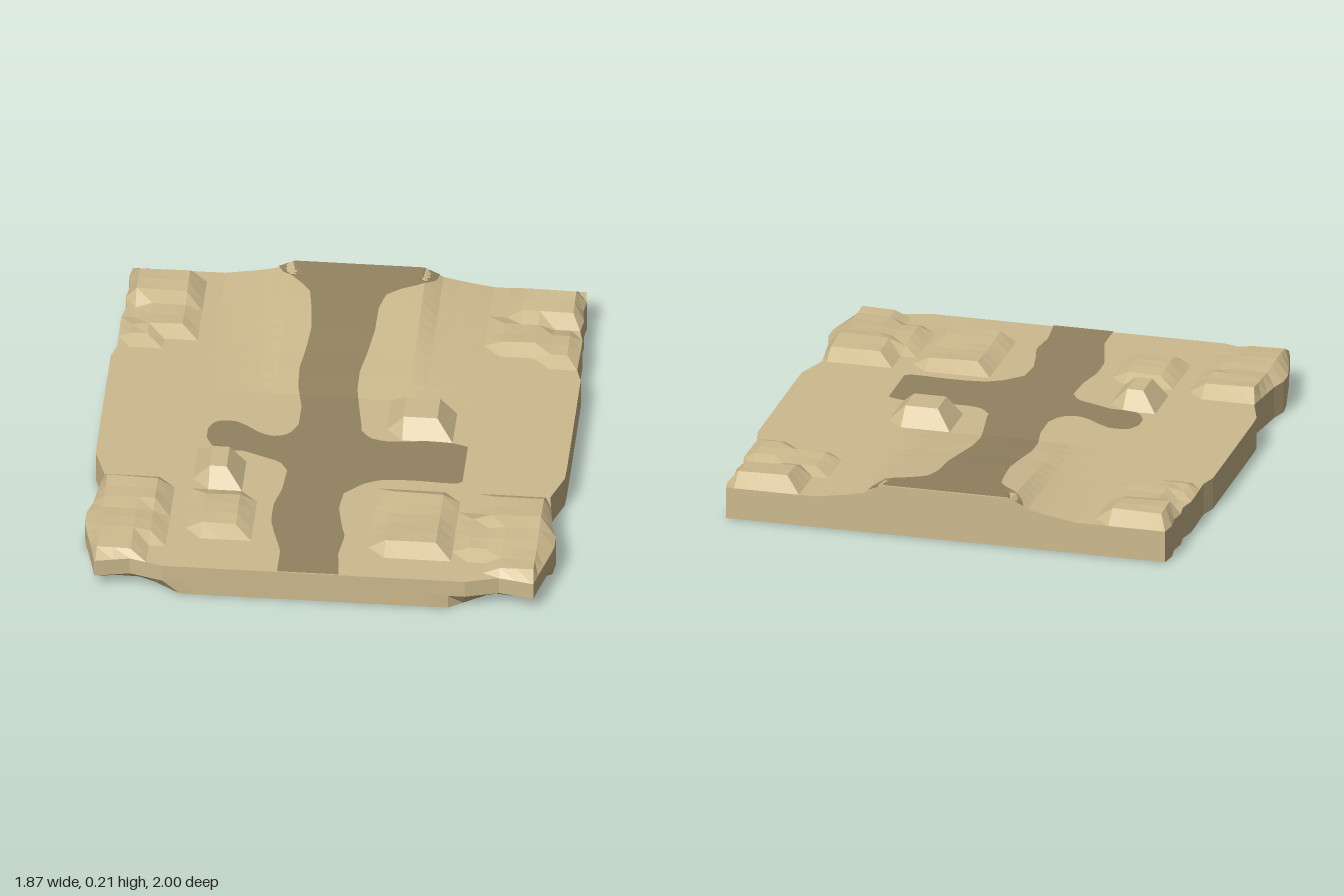
import * as THREE from 'three';

const C = 1 / 15, NX = 14, NZ = 15, GROUND = 0.132;
const lerp = THREE.MathUtils.lerp;

// Piecewise linear lookup; each key is [t, value, value2...]
function along(keys, t, k = 1) {
  if (t <= keys[0][0]) return keys[0][k];
  for (let n = 1; n < keys.length; n++) {
    const a = keys[n - 1], b = keys[n];
    if (t <= b[0]) return lerp(a[k], b[k], (t - a[0]) / (b[0] - a[0]));
  }
  return keys[keys.length - 1][k];
}

// Plateaus in grid cells: [x0, x1, z0, z1, rise], falling off over one cell
const plateaus = [
  [4, 6, -2, 0, 0.068], [-7, -6, 4, 6, 0.068],
  [-13, -10, -14, -12, 0.045], [-12, -10, -11, -9, 0.03], [-13, -12, -9, -8, 0.02],
  [10, 13, -14, -12, 0.045], [9, 11, -11, -9, 0.025], [12, 13, -10, -8, 0.02],
  [4, 7, 7, 12, 0.034], [-7, -5, 8, 11, 0.03],
  [-13, -10, 7, 9, 0.045], [-13, -11, 10, 14, 0.034], [-10, -10, 9, 12, 0.022],
  [10, 13, 7, 9, 0.045], [11, 13, 10, 14, 0.034], [9, 10, 9, 12, 0.022],
];

// Slope that climbs to the back edge
const climb = [[-1, 0.074], [-0.8, 0.058], [-0.6, 0.04], [-0.47, 0.026], [-0.33, 0.015], [-0.2, 0]];
const spread = [[0.267, 1], [0.333, 0.5], [0.4, 0.3], [0.533, 0]];

function gridHeight(i, j) {
  if (Math.abs(i) === NX) return GROUND;
  let rise = along(climb, j * C) * along(spread, Math.abs(i * C));
  plateaus.forEach(([x0, x1, z0, z1, h], n) => {
    if (i < x0 || i > x1 || j < z0 || j > z1) return;
    const rough = n < 2 ? 0 : 0.006 * Math.sin(i * 12.9 + j * 7.3);
    rise = Math.max(rise, h + rough);
  });
  if (j === NZ) rise = 0;
  return GROUND + rise;
}

function heightAt(x, z) {
  const i = Math.min(Math.floor(x / C), NX - 1), j = Math.min(Math.floor(z / C), NZ - 1);
  const u = x / C - i, v = z / C - j;
  return lerp(lerp(gridHeight(i, j), gridHeight(i + 1, j), u),
    lerp(gridHeight(i, j + 1), gridHeight(i + 1, j + 1), u), v);
}

// Worn outline of the two sides and of the front corners
const sideEdge = [[-1, 0.9], [-0.93, 0.91], [-0.87, 0.9], [-0.8, 0.91], [-0.73, 0.9], [-0.66, 0.917],
  [-0.47, 0.912], [-0.4, 0.933], [0.26, 0.933], [0.4, 0.885], [0.47, 0.895], [0.6, 0.912],
  [0.67, 0.933], [0.73, 0.933], [0.8, 0.918], [0.93, 0.885], [1, 0.872]];
const frontEdge = [[0.6, 1], [0.733, 0.962], [0.867, 0.99]];

function topPoint(i, j) {
  const x = Math.abs(i) === NX ? Math.sign(i) * along(sideEdge, j * C) : i * C;
  const z = j === NZ ? along(frontEdge, Math.abs(x)) : j * C;
  return [x, gridHeight(i, j), z];
}

// Bottom outline, undercut at the front corners
function bottomPoint([x, , z]) {
  const dx = Math.abs(x) - 0.53, dz = z - 0.73;
  if (dx <= 0 || dz <= 0) return [x, 0.002, z];
  const u = Math.max(1, dx / 0.4 + dz / 0.27);
  return [Math.sign(x) * (0.53 + dx / u), 0.002, 0.73 + dz / u];
}

// Faceted geometry from quads and triangles
function faceted(faces) {
  const pos = [];
  for (const f of faces) {
    for (let n = 2; n < f.length; n++) pos.push(...f[0], ...f[n - 1], ...f[n]);
  }
  const g = new THREE.BufferGeometry();
  g.setAttribute('position', new THREE.Float32BufferAttribute(pos, 3));
  g.computeVertexNormals();
  return g;
}

// Draped ribbon: keys are [t, low, high], running along z or along x
function ribbon(keys, alongX) {
  const t0 = keys[0][0], t1 = keys[keys.length - 1][0];
  const steps = Math.ceil((t1 - t0) / (C / 3)), across = 10, faces = [];
  const at = (s, k) => {
    const t = lerp(t0, t1, s / steps);
    const w = lerp(along(keys, t, 1), along(keys, t, 2), k / across);
    const [x, z] = alongX ? [t, w] : [w, t];
    return [x, heightAt(x, z) + 0.004, z];
  };
  for (let s = 0; s < steps; s++) for (let k = 0; k < across; k++) {
    const f = [at(s, k), at(s + 1, k), at(s + 1, k + 1), at(s, k + 1)];
    faces.push(alongX ? f.reverse() : f);
  }
  return faceted(faces);
}

export function createModel() {
  const group = new THREE.Group();
  const sand = new THREE.MeshStandardMaterial({ color: 0xcdba8e });
  sand.name = 'sand';
  const dirt = new THREE.MeshStandardMaterial({ color: 0x928260 });
  dirt.name = 'dirt';
  const add = (name, geometry, material) => {
    const mesh = new THREE.Mesh(geometry, material);
    mesh.name = name;
    group.add(mesh);
    return mesh;
  };

  // Ground surface with mounds
  const top = [];
  for (let i = -NX; i < NX; i++) for (let j = -NZ; j < NZ; j++) {
    top.push([topPoint(i, j), topPoint(i, j + 1), topPoint(i + 1, j + 1), topPoint(i + 1, j)]);
  }
  add('groundSurface', faceted(top), sand);

  // Rim and underside
  const rim = [];
  for (let j = -NZ; j < NZ; j++) rim.push(topPoint(-NX, j));
  for (let i = -NX; i < NX; i++) rim.push(topPoint(i, NZ));
  for (let j = NZ; j > -NZ; j--) rim.push(topPoint(NX, j));
  for (let i = NX; i > -NX; i--) rim.push(topPoint(i, -NZ));
  const walls = [], under = [];
  rim.forEach((p, n) => {
    const q = rim[(n + 1) % rim.length];
    const pm = [p[0], 0.06, p[2]], qm = [q[0], 0.06, q[2]];
    const pb = bottomPoint(p), qb = bottomPoint(q);
    walls.push([p, pm, qm, q], [pm, pb, qb, qm]);
    under.push([[0, 0.002, 0], qb, pb]);
  });
  add('slabSides', faceted(walls), sand);
  add('slabUnderside', faceted(under), sand);

  // Main path and its two side branches
  add('mainPath', ribbon([[-1, -0.32, 0.32], [-0.95, -0.3, 0.31], [-0.9, -0.25, 0.26], [-0.86, -0.21, 0.17],
    [-0.82, -0.18, 0.12], [-0.74, -0.168, 0.1], [-0.6, -0.155, 0.097], [-0.47, -0.165, 0.08],
    [-0.36, -0.18, 0.06], [-0.25, -0.175, 0.06], [-0.12, -0.15, 0.08], [0, -0.15, 0.1], [0.2, -0.16, 0.1],
    [0.36, -0.17, 0.1], [0.44, -0.175, 0.07], [0.55, -0.2, 0.06], [0.66, -0.2, 0.08], [0.74, -0.18, 0.1],
    [0.86, -0.145, 0.085], [1, -0.145, 0.1]], false), dirt);
  add('leftwardBranch', ribbon([[0.06, 0, 0.46], [0.1, 0.02, 0.42], [0.14, 0.07, 0.38], [0.2, 0.085, 0.35],
    [0.28, 0.08, 0.34], [0.36, 0.068, 0.34], [0.46, 0.072, 0.345], [0.51, 0.085, 0.345],
    [0.53, 0.095, 0.33]], true), dirt);
  add('rightwardBranch', ribbon([[-0.505, 0.06, 0.12], [-0.49, 0.02, 0.16], [-0.46, 0.003, 0.19],
    [-0.4, 0, 0.2], [-0.35, 0.03, 0.2], [-0.3, 0.07, 0.22], [-0.25, 0.09, 0.24], [-0.2, 0.08, 0.26],
    [-0.17, 0.05, 0.31], [-0.15, 0, 0.36]], true), dirt);

  // Small patch on the underside
  const patch = add('undersidePatch', new THREE.CircleGeometry(1, 16), dirt);
  patch.rotation.x = Math.PI / 2;
  patch.scale.set(0.03, 0.09, 1);
  patch.position.set(0.56, 0, -0.16);
  return group;
}
